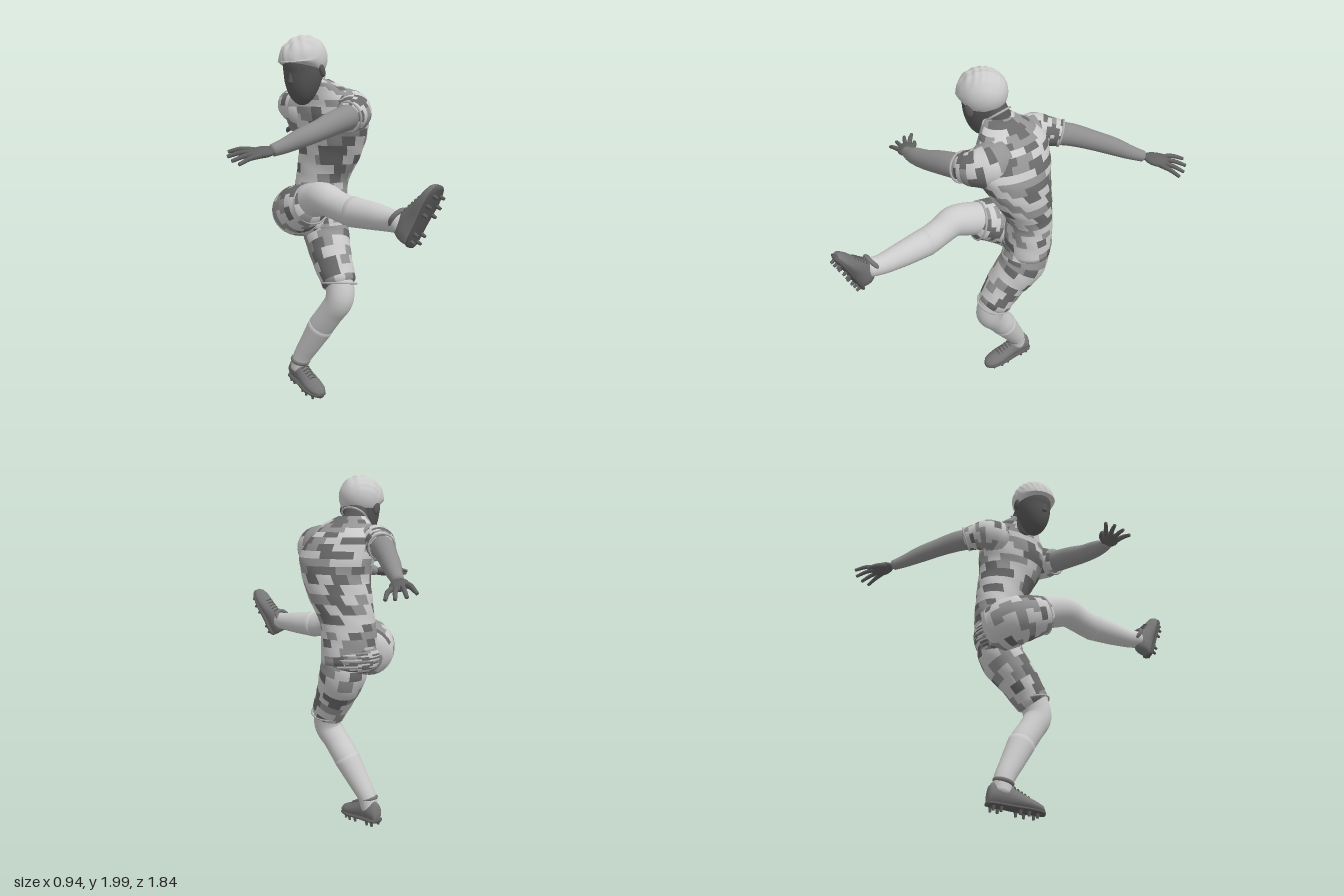
import * as THREE from 'three';

const V = (x, y, z) => new THREE.Vector3(x, y, z);
const grey = (color) => new THREE.MeshStandardMaterial({ color });
const skin = grey(0xcccccc), armTone = grey(0x8e8e8e), handTone = grey(0x626262), faceTone = grey(0x585858);
const bootTone = grey(0x767676), soleTone = grey(0x5c5c5c), cuffTone = grey(0xb4b4b4);
const hairTone = grey(0xd2d2d2);
hairTone.side = THREE.DoubleSide;
const kit = [grey(0xc4c4c4), grey(0x959595), grey(0x6c6c6c)];

function part(parent, name, geo, material) {
  const m = new THREE.Mesh(geo, material);
  m.name = name;
  parent.add(m);
  return m;
}

// Closed skin over a list of equal-length rings, capped at both ends
function loft(rings) {
  const n = rings[0].length, pos = [], idx = [];
  rings.forEach((r) => r.forEach((p) => pos.push(p.x, p.y, p.z)));
  for (let i = 0; i < rings.length - 1; i++)
    for (let j = 0; j < n; j++) {
      const a = i * n + j, b = i * n + ((j + 1) % n);
      idx.push(a, b, a + n, b, b + n, a + n);
    }
  [0, rings.length - 1].forEach((k, end) => {
    const c = rings[k].reduce((s, p) => s.add(p), V(0, 0, 0)).divideScalar(n);
    const ci = pos.length / 3;
    pos.push(c.x, c.y, c.z);
    for (let j = 0; j < n; j++) {
      const a = k * n + j, b = k * n + ((j + 1) % n);
      if (end) idx.push(ci, a, b);
      else idx.push(ci, b, a);
    }
  });
  const g = new THREE.BufferGeometry();
  g.setAttribute('position', new THREE.Float32BufferAttribute(pos, 3));
  g.setIndex(idx);
  g.computeVertexNormals();
  return g;
}

// Sort the faces of a loft with n sides into blocky patches of the three kit tones
function patchwork(geo, n) {
  const idx = geo.index.array, tones = [[], [], []];
  for (let k = 0; k < idx.length; k += 3) {
    const quad = Math.floor(k / 6), row = Math.floor(quad / n / 2);
    const col = Math.floor(((quad % n) + (row % 2)) / 3);
    const h = Math.abs(Math.sin(row * 12.99 + col * 78.23) * 4375.85) % 1;
    tones[h < 0.4 ? 0 : h < 0.75 ? 1 : 2].push(idx[k], idx[k + 1], idx[k + 2]);
  }
  geo.setIndex(tones.flat());
  let start = 0;
  tones.forEach((t, i) => {
    geo.addGroup(start, t.length, i);
    start += t.length;
  });
  return geo;
}

// Tapered round limb through [x, y, z, radius] stations, with domed ends
function limb(pts, { grow = 0, n = 20, folds = 0, steps = 6 } = {}) {
  const path = new THREE.CatmullRomCurve3(pts.map((p) => V(p[0], p[1], p[2])));
  const size = new THREE.CatmullRomCurve3(pts.map((p, i) => V(p[3] + grow, i * 0.1, 0)));
  const d = path.getPoint(1).sub(path.getPoint(0));
  const axes = [V(1, 0, 0), V(0, 1, 0), V(0, 0, 1)];
  const hint = axes.sort((a, b) => Math.abs(a.dot(d)) - Math.abs(b.dot(d)))[0];
  const ring = (t, push, scale) => {
    const tan = path.getTangent(t), r = size.getPoint(t).x;
    const u = tan.clone().cross(hint).normalize(), v = tan.clone().cross(u);
    const c = path.getPoint(t).addScaledVector(tan, push * r);
    return Array.from({ length: n }, (_, j) => {
      const a = (j / n) * Math.PI * 2;
      const rr = r * scale * (1 + folds * Math.sin(3 * a + t * 17) * Math.sin(t * 12));
      return c.clone().addScaledVector(u, Math.cos(a) * rr).addScaledVector(v, Math.sin(a) * rr);
    });
  };
  const rings = [ring(0, -0.3, 0.7)], count = (pts.length - 1) * steps;
  for (let i = 0; i <= count; i++) rings.push(ring(i / count, 0, 1));
  rings.push(ring(1, 0.3, 0.7));
  return loft(rings);
}

// Ring of trim round a limb at one station, facing the next station
function band(parent, name, p, q) {
  const m = part(parent, name, new THREE.TorusGeometry(p[3], 0.006, 6, 28), cuffTone);
  m.position.set(p[0], p[1], p[2]);
  m.lookAt(q[0], q[1], q[2]);
}

// Group whose +z runs along fwd and +y lies near up
function frame(name, origin, fwd, up) {
  const z = fwd.clone().normalize(), x = up.clone().cross(z).normalize();
  const g = new THREE.Group();
  g.name = name;
  g.quaternion.setFromRotationMatrix(new THREE.Matrix4().makeBasis(x, z.clone().cross(x), z));
  g.position.copy(origin);
  return g;
}

// Upright body section stack: [x, y, z, halfWidth, halfDepth, yaw in degrees]
function trunk(sections, n = 42) {
  const c = new THREE.CatmullRomCurve3(sections.map((s) => V(s[0], s[1], s[2])));
  const e = new THREE.CatmullRomCurve3(sections.map((s) => V(s[3], s[4], s[5] / 100)));
  const rings = [];
  for (let i = 0; i <= 40; i++) {
    const o = c.getPoint(i / 40), s = e.getPoint(i / 40), yaw = s.z * 100 * Math.PI / 180;
    rings.push(Array.from({ length: n }, (_, j) => {
      const a = (j / n) * Math.PI * 2;
      const k = 1 + 0.013 * Math.sin(4 * a + o.y * 22) * Math.sin(o.y * 31);
      return V(Math.sin(a) * s.x * k, 0, Math.cos(a) * s.y * k).applyAxisAngle(V(0, 1, 0), yaw).add(o);
    }));
  }
  return patchwork(loft(rings), n);
}

// Flat open hand, fingers along +z, thumb on the given x side
function hand(name, origin, fwd, up, thumb) {
  const g = frame(name, origin, fwd, up);
  const palm = part(g, 'palm', new THREE.SphereGeometry(1, 20, 14), handTone);
  palm.scale.set(0.045, 0.022, 0.068);
  palm.position.z = 0.06;
  [0.118, 0.136, 0.13, 0.11].forEach((len, i) => {
    const s = thumb * (1.5 - i), x = s * 0.021;
    part(g, 'finger', limb([[x, 0, 0.085, 0.0135], [x + s * len * 0.13, 0.006, 0.085 + len * 0.5, 0.0115],
      [x + s * len * 0.22, -0.006, 0.085 + len, 0.009]], { n: 10, steps: 4 }), handTone);
  });
  part(g, 'thumb', limb([[thumb * 0.02, -0.005, 0.03, 0.018], [thumb * 0.05, -0.014, 0.075, 0.014],
    [thumb * 0.062, -0.02, 0.125, 0.01]], { n: 10, steps: 4 }), handTone);
  return g;
}

// Studded boot: sole on y = 0, toe along +z
function boot(name, origin, fwd, up) {
  const g = frame(name, origin, fwd, up);
  const outline = [[-0.095, 0.025, 0.09], [-0.08, 0.041, 0.112], [-0.04, 0.047, 0.125], [0.01, 0.046, 0.12],
    [0.06, 0.051, 0.097], [0.12, 0.057, 0.074], [0.17, 0.051, 0.058], [0.2, 0.037, 0.046], [0.215, 0.016, 0.03]];
  const shell = (low, high, grow) => loft(outline.map(([z, w, h]) => Array.from({ length: 20 }, (_, j) => {
    const a = (j / 20) * Math.PI * 2, top = high ?? h, s = Math.sin(a);
    const taper = high === undefined && s > 0 ? 1 - 0.25 * s : 1;
    return V(Math.cos(a) * (w + grow) * taper, (low + top) / 2 + s * (top - low) / 2, z * (1 + grow * 3));
  })));
  part(g, 'bootUpper', shell(0, undefined, 0), bootTone);
  part(g, 'bootSole', shell(-0.008, 0.018, 0.003), soleTone);
  const collar = part(g, 'bootCollar', new THREE.TorusGeometry(0.046, 0.012, 8, 28), bootTone);
  collar.rotation.x = Math.PI / 2 + 0.15;
  collar.position.set(0, 0.126, -0.018);
  for (let i = 0; i < 5; i++) {
    const z = 0.04 + i * 0.02, y = 0.11 - i * 0.0085;
    part(g, 'lace', limb([[-0.024, y - 0.012, z, 0.004], [0, y + 0.002, z + 0.003, 0.004],
      [0.024, y - 0.012, z, 0.004]], { n: 6, steps: 3 }), soleTone);
  }
  for (const [x, z] of [[0.025, -0.065], [0.028, -0.025], [0.034, 0.075], [0.038, 0.12], [0.026, 0.17]])
    for (const s of [-1, 1])
      part(g, 'stud', new THREE.CylinderGeometry(0.011, 0.007, 0.028, 10), soleTone).position.set(s * x, -0.014, z);
  return g;
}

// Sphere whose unit points are moved by a rule
function shaped(geo, rule) {
  const p = geo.attributes.position, v = V(0, 0, 0);
  for (let i = 0; i < p.count; i++) {
    rule(v.fromBufferAttribute(p, i));
    p.setXYZ(i, v.x, v.y, v.z);
  }
  geo.computeVertexNormals();
  return geo;
}

// Head facing local +z: bearded jaw, tousled hair swept forward, nose and ears
function head() {
  const g = new THREE.Group();
  g.name = 'head';
  part(g, 'face', shaped(new THREE.SphereGeometry(1, 36, 28), (v) => {
    const low = Math.max(0, -v.y), back = v.z < 0 ? 1 - 0.3 * low : 1;
    v.set(v.x * 0.106 * (1 - 0.12 * low), v.y * (v.y > 0 ? 0.135 : 0.185), v.z * 0.12 * back + 0.06 * low);
  }), faceTone);
  part(g, 'hair', shaped(new THREE.SphereGeometry(1, 64, 40, 0, Math.PI * 2, 0, Math.PI * 0.74), (v) => {
    const front = Math.max(0, v.z), top = Math.max(0, v.y + 0.2);
    const k = 1 + 0.035 * top * Math.sin(v.x * 15 + v.y * 6) * Math.sin(v.z * 13 + v.y * 8 + v.x * 4);
    const lift = v.y < 0.2 ? front * (0.2 - v.y) * 0.14 : 0;
    v.set(v.x * 0.12 * k, v.y * 0.118 * k + 0.036 + lift, v.z * (v.z > 0 ? 0.143 : 0.136) * k - 0.002);
  }), hairTone);
  part(g, 'nose', limb([[0, 0.01, 0.106, 0.01], [0, -0.025, 0.122, 0.013], [0, -0.045, 0.129, 0.017]], { n: 12 }), faceTone);
  for (const s of [-1, 1]) {
    const ear = part(g, 'ear', new THREE.SphereGeometry(1, 14, 12), faceTone);
    ear.scale.set(0.014, 0.034, 0.022);
    ear.position.set(s * 0.112, -0.025, 0);
    ear.rotation.y = s * 0.35;
  }
  g.rotation.set(0.33, -0.85, 0, 'YXZ');
  g.position.set(-0.05, 1.843, 0.145);
  return g;
}

export function createModel() {
  const root = new THREE.Group();
  root.name = 'kickingFootballer';

  // Twisted torso, shorts seat, neck and head
  part(root, 'shirt', trunk([[0.07, 1.0, -0.06, 0.158, 0.13, 10], [0.07, 1.12, -0.07, 0.155, 0.128, 0],
    [0.08, 1.22, -0.07, 0.15, 0.126, -10], [0.112, 1.35, -0.04, 0.175, 0.14, -30], [0.127, 1.48, 0, 0.2, 0.155, -45],
    [0.112, 1.58, 0.02, 0.225, 0.155, -50], [0.085, 1.67, 0.025, 0.21, 0.135, -50],
    [0.055, 1.73, 0.045, 0.155, 0.105, -50], [0.012, 1.78, 0.075, 0.078, 0.072, -50]]), kit);
  part(root, 'shortsSeat', trunk([[0.06, 0.93, -0.05, 0.1, 0.09, 10], [0.055, 0.98, -0.06, 0.155, 0.13, 10],
    [0.055, 1.04, -0.065, 0.163, 0.134, 8], [0.065, 1.1, -0.07, 0.14, 0.12, 0]]), kit);
  part(root, 'neck', limb([[0.02, 1.7, 0.06, 0.072], [-0.01, 1.78, 0.09, 0.068], [-0.03, 1.84, 0.115, 0.066]]), faceTone);
  band(root, 'collar', [0.002, 1.782, 0.083, 0.07], [-0.03, 1.84, 0.115]);
  root.add(head());

  // Arms: sleeve, bare arm, hand
  const arms = {
    left: {
      sleeve: [[0.15, 1.62, 0.08, 0.115], [0.19, 1.61, 0.15, 0.113], [0.195, 1.6, 0.21, 0.097], [0.16, 1.588, 0.275, 0.076]],
      arm: [[0.18, 1.593, 0.24, 0.066], [0.13, 1.58, 0.305, 0.064], [0.05, 1.555, 0.378, 0.06], [-0.03, 1.525, 0.445, 0.052],
        [-0.12, 1.495, 0.5, 0.047], [-0.2, 1.463, 0.535, 0.037], [-0.26, 1.443, 0.555, 0.03]],
      hand: [V(-0.25, 1.445, 0.553), V(-0.22, -0.03, 0.05), V(0, 1, 0.4), -1],
    },
    right: {
      sleeve: [[-0.03, 1.635, -0.05, 0.1], [-0.07, 1.64, -0.12, 0.093], [-0.066, 1.635, -0.18, 0.077], [-0.056, 1.625, -0.245, 0.068]],
      arm: [[-0.06, 1.628, -0.2, 0.061], [-0.05, 1.615, -0.3, 0.059], [-0.035, 1.585, -0.41, 0.052], [-0.02, 1.55, -0.52, 0.047],
        [-0.008, 1.515, -0.61, 0.037], [0, 1.492, -0.68, 0.029]],
      hand: [V(0.002, 1.492, -0.69), V(0.065, -0.055, -0.23), V(0.25, 1, 0), 1],
    },
  };
  for (const [side, a] of Object.entries(arms)) {
    part(root, side + 'Sleeve', patchwork(limb(a.sleeve, { n: 24, folds: 0.02 }), 24), kit);
    band(root, side + 'SleeveCuff', a.sleeve[3], a.arm[2]);
    part(root, side + 'Arm', limb(a.arm), armTone);
    root.add(hand(side + 'Hand', ...a.hand));
  }

  // Legs: shorts, bare leg, sock
  const legs = {
    left: {
      shorts: [[0.09, 1.03, -0.06, 0.123], [0.1, 0.93, -0.04, 0.13], [0.115, 0.8, 0.05, 0.113], [0.145, 0.67, 0.13, 0.095]],
      leg: [[0.12, 0.78, 0.08, 0.085], [0.145, 0.66, 0.14, 0.08], [0.14, 0.58, 0.155, 0.078], [0.1, 0.5, 0.12, 0.073],
        [0.055, 0.41, 0.07, 0.073], [0, 0.29, 0.02, 0.06], [-0.045, 0.19, -0.02, 0.05], [-0.06, 0.12, -0.03, 0.047]],
    },
    right: {
      shorts: [[-0.03, 1.04, -0.06, 0.135], [-0.075, 1.07, 0.03, 0.138], [-0.06, 1.1, 0.12, 0.125], [-0.02, 1.13, 0.2, 0.106]],
      leg: [[-0.05, 1.12, 0.13, 0.09], [0, 1.16, 0.25, 0.09], [0.03, 1.172, 0.33, 0.084], [0.08, 1.15, 0.4, 0.075],
        [0.14, 1.13, 0.48, 0.074], [0.23, 1.125, 0.61, 0.062], [0.29, 1.12, 0.71, 0.05], [0.31, 1.12, 0.77, 0.047]],
    },
  };
  for (const [side, l] of Object.entries(legs)) {
    part(root, side + 'ShortsLeg', patchwork(limb(l.shorts, { n: 30, folds: 0.02 }), 30), kit);
    band(root, side + 'ShortsHem', l.shorts[3], l.leg[2]);
    part(root, side + 'Leg', limb(l.leg, { n: 24 }), skin);
    part(root, side + 'Sock', limb(l.leg.slice(4), { n: 24, grow: 0.003 }), skin);
  }
  root.add(boot('leftBoot', V(-0.05, 0.052, -0.015), V(0.4, -0.1, 0.91), V(0, 1, 0)));
  root.add(boot('rightBoot', V(0.37, 1.108, 0.85), V(0.33, 0.87, 0.24), V(-0.6, 0.2, -0.8)));
  return root;
}
